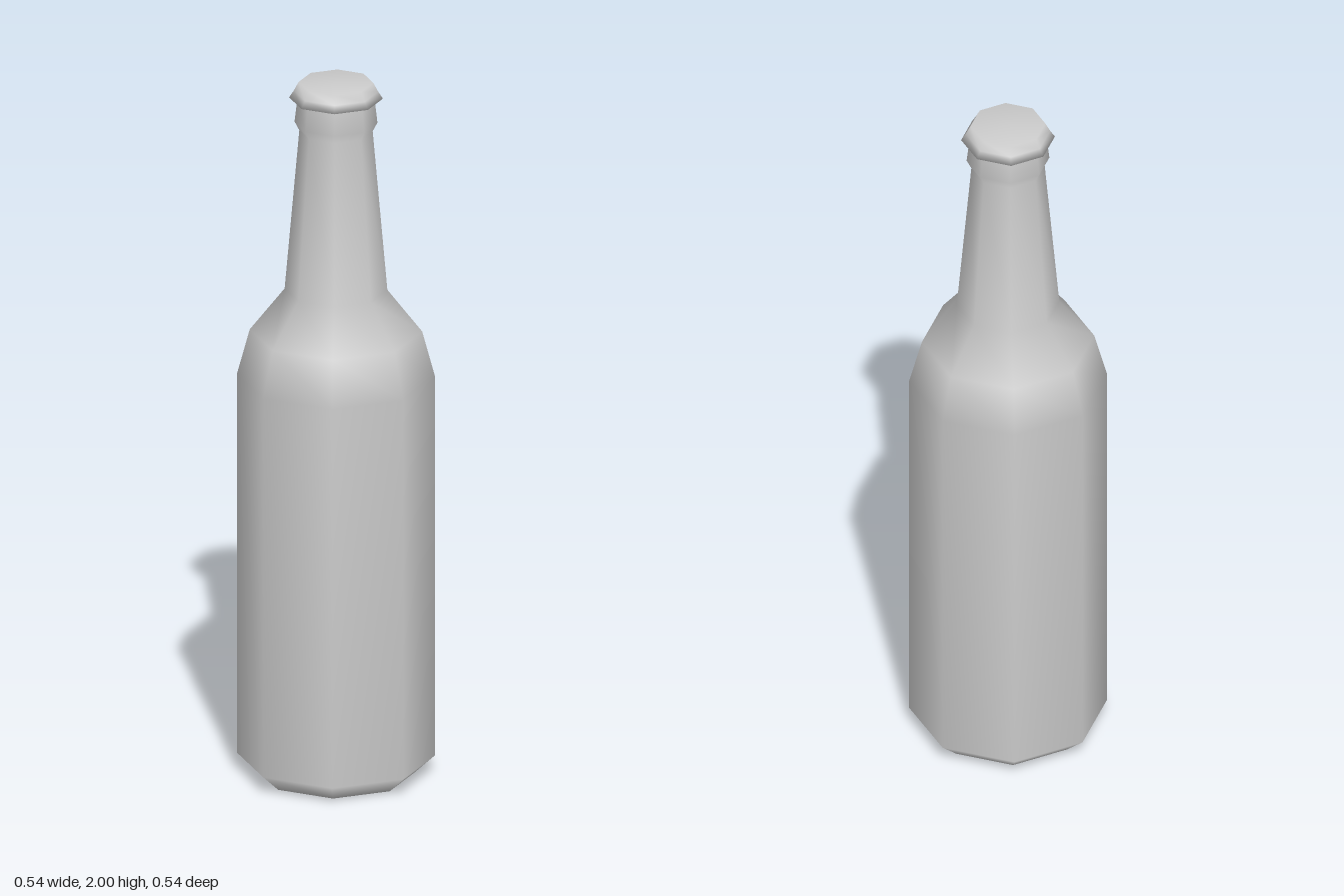
import * as THREE from 'three';

// Eight-sided smooth turned part from [radius, height] pairs, bottom to top
function turned(name, profile) {
  const points = profile.map(([r, y]) => new THREE.Vector2(r, y));
  const material = new THREE.MeshStandardMaterial({ color: 0xcccccc, side: THREE.DoubleSide });
  const mesh = new THREE.Mesh(new THREE.LatheGeometry(points, 8), material);
  mesh.name = name;
  return mesh;
}

export function createModel() {
  const bottle = new THREE.Group();
  bottle.name = 'bottle';

  // Base, body, shoulder, neck and lip ring
  bottle.add(turned('bottleGlass', [
    [0, 0], [0.215, 0], [0.27, 0.05], [0.27, 1.15], [0.235, 1.28],
    [0.14, 1.4], [0.1, 1.86], [0.113, 1.885], [0.105, 1.955],
  ]));

  // Flared crown cap
  bottle.add(turned('cap', [
    [0.1, 1.955], [0.128, 1.955], [0.115, 1.975], [0.102, 2], [0, 2],
  ]));

  return bottle;
}
